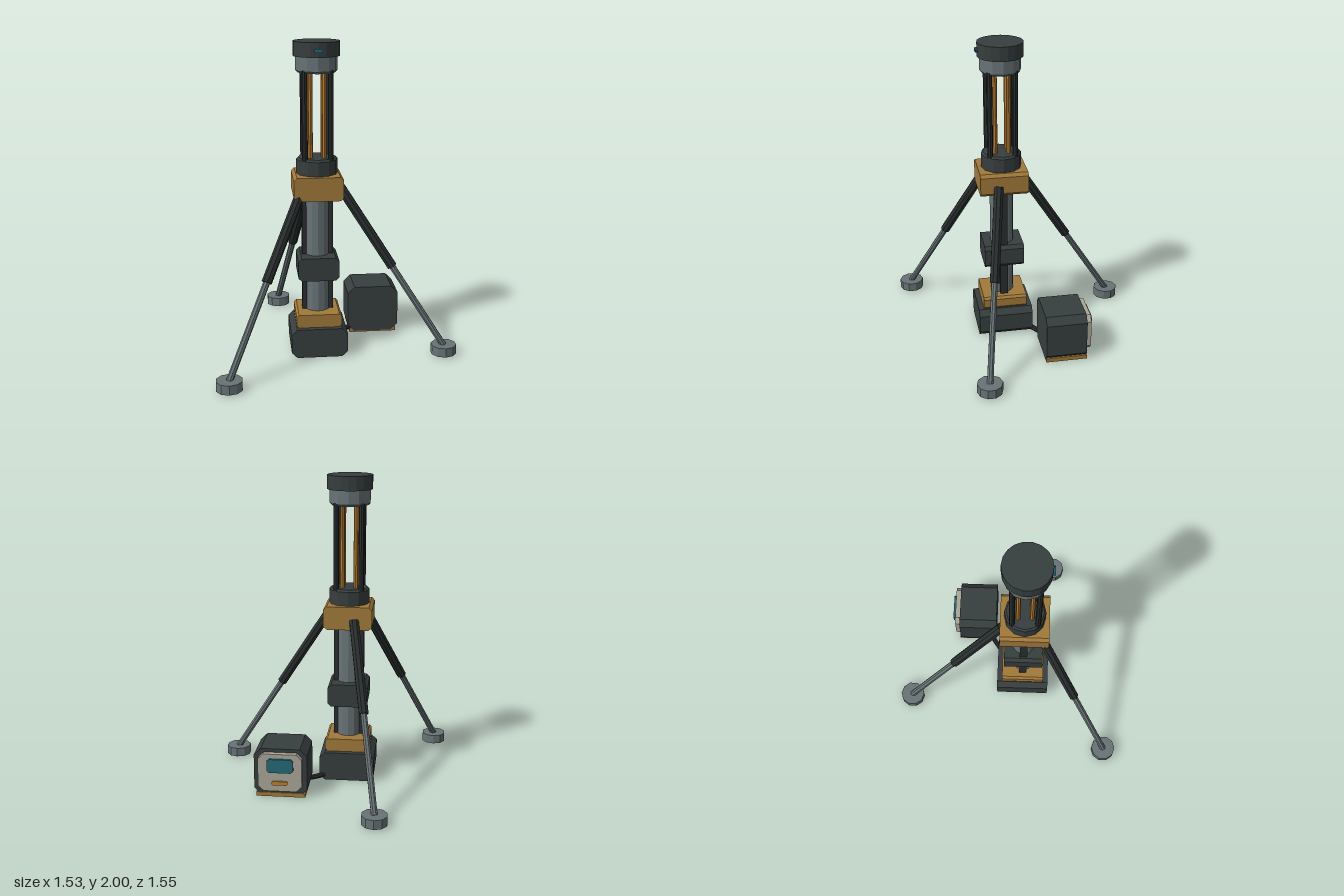
import * as THREE from 'three';

const paint = (name, color, flat = true) => {
  const m = new THREE.MeshStandardMaterial({ color, flatShading: flat });
  m.name = name;
  return m;
};

export function createModel() {
  const dark = paint('charcoal casing', 0x373e3e);
  const black = paint('black metal', 0x2a2f2f);
  const grey = paint('grey metal', 0x687376);
  const gold = paint('ochre', 0xa27a3a);
  const amber = paint('amber', 0xc0802f);
  const teal = paint('teal glass', 0x246a7a);
  const beige = paint('beige panel', 0xaaa797);

  const model = new THREE.Group();
  model.name = 'tripodDevice';
  const mast = new THREE.Group();
  mast.name = 'mast';
  mast.position.set(-0.114, 0, 0.1);
  model.add(mast);

  const add = (parent, name, geometry, material, x = 0, y = 0, z = 0) => {
    const mesh = new THREE.Mesh(geometry, material);
    mesh.name = name;
    mesh.position.set(x, y, z);
    parent.add(mesh);
    return mesh;
  };

  // Box with its four corners cut in the front profile, centred on the origin
  const cutBox = (w, h, d, c) => {
    const x = w / 2, y = h / 2;
    const shape = new THREE.Shape([
      [-x + c, -y], [x - c, -y], [x, -y + c], [x, y - c],
      [x - c, y], [-x + c, y], [-x, y - c], [-x, -y + c],
    ].map(([a, b]) => new THREE.Vector2(a, b)));
    return new THREE.ExtrudeGeometry(shape, { depth: d, bevelEnabled: false }).translate(0, 0, -d / 2);
  };

  // Turned part from [radius, y] points, bottom to top
  const turned = (points, sides) =>
    new THREE.LatheGeometry(points.map(([r, y]) => new THREE.Vector2(r, y)), sides);

  // Straight round bar between two points
  const bar = (parent, name, a, b, radius, material, sides = 8) => {
    const dir = b.clone().sub(a);
    const mesh = add(parent, name, new THREE.CylinderGeometry(radius, radius, dir.length(), sides), material);
    mesh.position.copy(a).add(b).multiplyScalar(0.5);
    mesh.quaternion.setFromUnitVectors(new THREE.Vector3(0, 1, 0), dir.normalize());
    return mesh;
  };

  // Base, column and clamps
  add(mast, 'base', cutBox(0.36, 0.19, 0.36, 0.036), dark, 0, 0.1, 0);
  add(mast, 'basePlate', cutBox(0.29, 0.085, 0.29, 0.015), gold, 0, 0.2375, 0);
  add(mast, 'column', new THREE.CylinderGeometry(0.077, 0.077, 0.78, 12), grey, 0, 0.66, 0);
  for (const s of [-1, 1]) {
    add(mast, 'columnRail', new THREE.BoxGeometry(0.03, 0.78, 0.05), black, s * 0.083, 0.66, 0);
  }
  add(mast, 'columnClamp', cutBox(0.26, 0.15, 0.26, 0.022), dark, 0, 0.577, 0);
  add(mast, 'tripodHead', cutBox(0.31, 0.15, 0.31, 0.02), gold, 0, 1.105, 0);

  // Rod cage between two collars
  add(mast, 'lowerCollar', turned([[0, 1.17], [0.13, 1.17], [0.13, 1.27], [0.118, 1.283], [0, 1.283]], 12), dark);
  for (const sx of [-1, 1]) for (const sz of [-1, 1]) {
    add(mast, 'cageRod', new THREE.CylinderGeometry(0.018, 0.018, 0.56, 8), black, sx * 0.08, 1.55, sz * 0.08);
    add(mast, 'innerRod', new THREE.CylinderGeometry(0.015, 0.015, 0.56, 8), amber, sx * 0.043, 1.55, sz * 0.043);
  }
  add(mast, 'upperCollar', turned([[0, 1.81], [0.118, 1.81], [0.13, 1.823], [0.13, 1.915], [0, 1.915]], 12), grey);
  add(mast, 'cap', new THREE.CylinderGeometry(0.145, 0.145, 0.09, 18), dark, 0, 1.955, 0);
  add(mast, 'capLight', cutBox(0.055, 0.022, 0.02, 0.009), teal, 0, 1.952, 0.146);

  // Three telescopic legs
  for (let i = 0; i < 3; i++) {
    const angle = 0.25 + (i * Math.PI * 2) / 3;
    const at = (r, y) => new THREE.Vector3(Math.cos(angle) * r, y, Math.sin(angle) * r);
    const leg = new THREE.Group();
    leg.name = 'leg';
    mast.add(leg);
    bar(leg, 'upperLeg', at(0.15, 1.09), at(0.483, 0.583), 0.032, black);
    bar(leg, 'lowerLeg', at(0.46, 0.618), at(0.822, 0.065), 0.021, grey);
    const foot = at(0.823, 0.042);
    add(leg, 'foot', new THREE.CylinderGeometry(0.082, 0.082, 0.06, 10), grey, foot.x, foot.y, foot.z);
  }

  // Control unit, facing backwards
  const unit = new THREE.Group();
  unit.name = 'controlUnit';
  unit.position.set(0.28, 0, -0.233);
  model.add(unit);
  add(unit, 'unitCase', cutBox(0.34, 0.315, 0.265, 0.045), dark, 0, 0.17, 0);
  add(unit, 'unitSkid', new THREE.BoxGeometry(0.315, 0.027, 0.27), gold, 0, 0.0185, -0.004);
  add(unit, 'unitPanel', cutBox(0.28, 0.25, 0.035, 0.035), beige, 0, 0.18, -0.149);
  add(unit, 'unitScreen', cutBox(0.168, 0.09, 0.016, 0.015), teal, -0.003, 0.23, -0.174);
  add(unit, 'unitButton', cutBox(0.1, 0.026, 0.012, 0.006), amber, 0, 0.112, -0.171);

  // Cable from base to control unit
  const cable = new THREE.CatmullRomCurve3([
    new THREE.Vector3(0.0, 0.04, -0.04),
    new THREE.Vector3(0.075, 0.034, -0.095),
    new THREE.Vector3(0.17, 0.04, -0.16),
  ]);
  add(model, 'cable', new THREE.TubeGeometry(cable, 8, 0.017, 8), black);

  return model;
}
